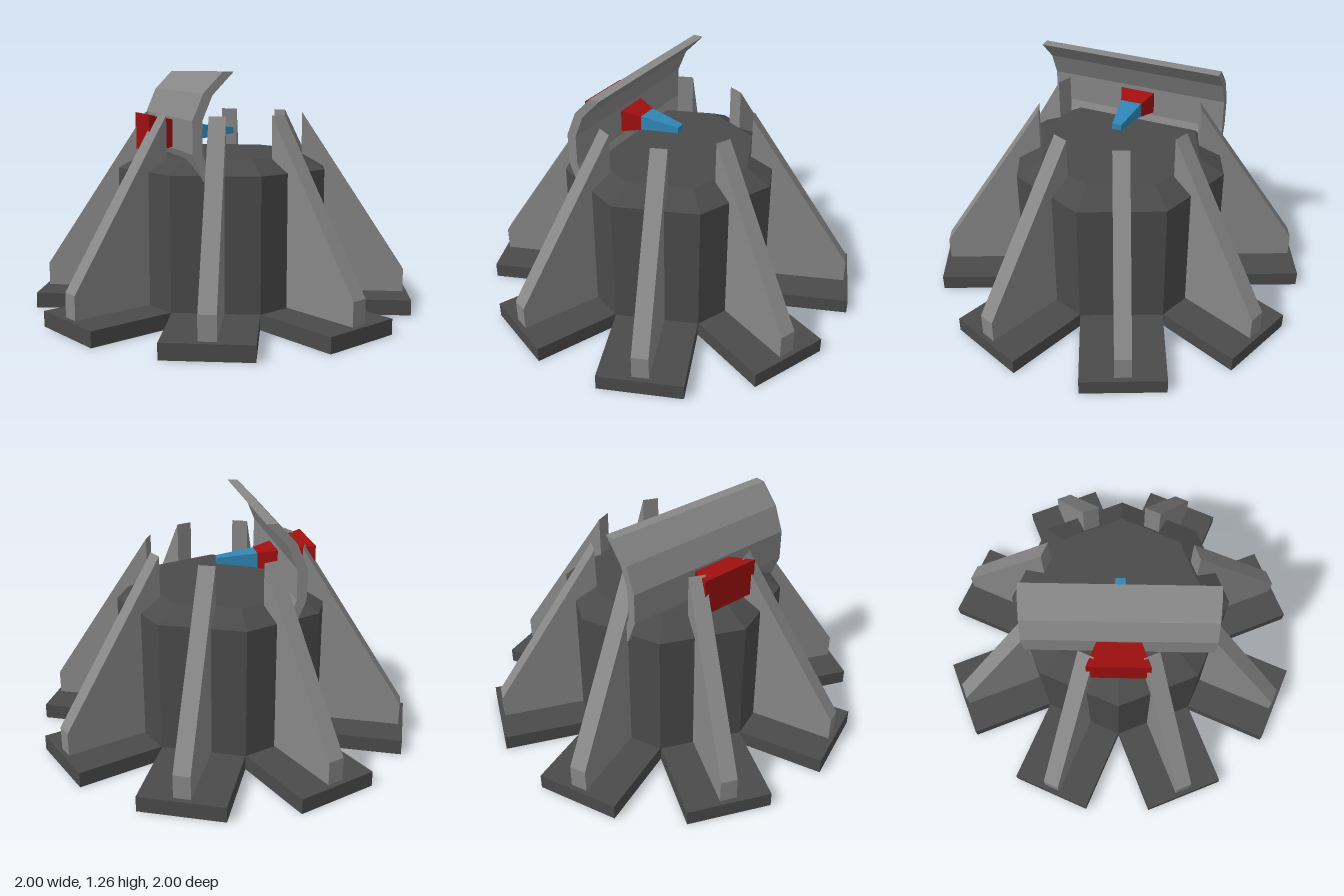
import * as THREE from 'three';

const makeMaterial = (name, color) => {
  const m = new THREE.MeshStandardMaterial({ color, flatShading: true, side: THREE.DoubleSide });
  m.name = name;
  return m;
};

function addMesh(parent, name, geometry, material) {
  const mesh = new THREE.Mesh(geometry, material);
  mesh.name = name;
  parent.add(mesh);
  return mesh;
}

// Closed outline in the xy plane, extruded and centred on z
function slab(points, depth) {
  const shape = new THREE.Shape(points.map(([x, y]) => new THREE.Vector2(x, y)));
  return new THREE.ExtrudeGeometry(shape, { depth, bevelEnabled: false }).translate(0, 0, -depth / 2);
}

// Box along x whose half height and half depth differ at its two ends
function taperedBox(x0, [hy0, hz0], x1, [hy1, hz1]) {
  const g = new THREE.BoxGeometry(2, 2, 2);
  const p = g.attributes.position;
  for (let i = 0; i < p.count; i++) {
    const back = p.getX(i) < 0;
    p.setXYZ(i, back ? x0 : x1, p.getY(i) * (back ? hy0 : hy1), p.getZ(i) * (back ? hz0 : hz1));
  }
  return g;
}

// Box without its underside
function openBox(w, h, d) {
  const g = new THREE.BoxGeometry(w, h, d);
  const index = Array.from(g.index.array);
  index.splice(18, 6);
  g.setIndex(index);
  g.clearGroups();
  return g;
}

export function createModel() {
  const dark = makeMaterial('dark grey', 0x4a4a4a);
  const grey = makeMaterial('mid grey', 0x878787);
  const red = makeMaterial('red', 0xa01010);
  const blue = makeMaterial('blue', 0x2f86b5);

  const model = new THREE.Group();
  model.name = 'turret';

  // Octagonal body, open underneath
  const profile = [[0.575, 0.08], [0.575, 0.76], [0.44, 0.83], [0, 0.83]];
  addMesh(model, 'body', new THREE.LatheGeometry(profile.map(([x, y]) => new THREE.Vector2(x, y)), 8), dark);

  // Eight hollow feet, each with a sloped buttress
  const footGeometry = openBox(0.465, 0.08, 0.435).translate(0.7575, 0.04, 0);
  const legGeometry = slab([[0.418, 0.083], [0.967, 0.083], [0.967, 0.205], [0.418, 1.04]], 0.086);
  for (let i = 0; i < 8; i++) {
    const support = new THREE.Group();
    support.name = 'support' + (i + 1);
    support.rotation.y = (i + 0.5) * Math.PI / 4;
    addMesh(support, 'foot', footGeometry, dark);
    addMesh(support, 'buttress', legGeometry, grey);
    model.add(support);
  }

  // Curved gun shield, mirrored about its middle height
  const mid = 0.945;
  const outer = [[-0.163, 0.312], [-0.26, 0.21], [-0.315, 0.08]];
  const inner = [[-0.108, 0.312], [-0.215, 0.2], [-0.265, 0.08]];
  const arc = half => [...half, ...half.map(([x, y]) => [x, -y]).reverse()];
  const outline = [...arc(outer), ...arc(inner).reverse()].map(([x, y]) => [x, y + mid]);
  addMesh(model, 'shield', slab(outline, 0.965), grey);

  // Gun through the shield
  const gun = new THREE.Group();
  gun.name = 'gun';
  gun.position.y = 0.942;
  addMesh(gun, 'breech', taperedBox(-0.45, [0.097, 0.16], -0.165, [0.04, 0.058]), red);
  addMesh(gun, 'barrel', taperedBox(-0.166, [0.039, 0.056], 0.045, [0.016, 0.025]), blue);
  model.add(gun);

  // Core inside the body
  addMesh(model, 'core', new THREE.BoxGeometry(0.24, 0.24, 0.24).translate(0, 0.125, 0), red);
  addMesh(model, 'corePost', new THREE.BoxGeometry(0.12, 0.2, 0.12).translate(0, 0.345, 0), red);

  return model;
}
